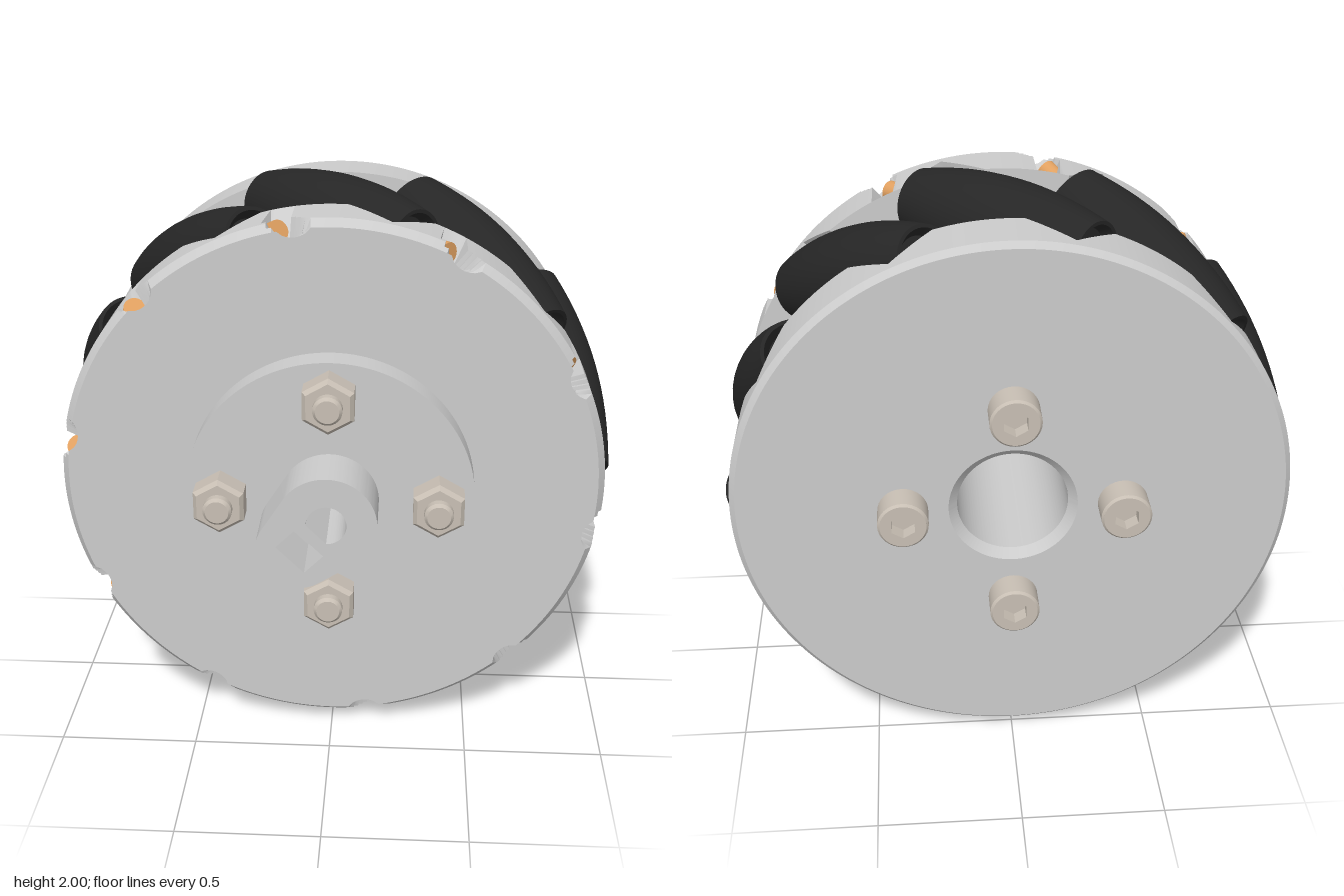
import * as THREE from 'three';
import { toCreasedNormals } from 'three/addons/utils/BufferGeometryUtils.js';

const mat = (color) => new THREE.MeshStandardMaterial({ color });
const DEG = Math.PI / 180;
const COUNT = 10;          // rollers
const STEP = 360 / COUNT;
const AXIS_R = 0.83;       // roller axle distance from the wheel axis
const MID_Z = -0.1;        // middle plane of the wheel
const RIM = 0.955;

// signed angle (degrees) to the nearest of the repeating positions
const nearest = (deg, at) => {
  const d = (((deg - at) % STEP) + STEP) % STEP;
  return d > STEP / 2 ? d - STEP : d;
};

// V-shaped pocket depth in a side plate
const pocket = (deg, at) => 0.15 * Math.max(0, 1 - Math.abs(nearest(deg, at)) / 9);

// rim radius, cut by the slanted axle holes of the front plate
function drilledRim(deg, z, rim) {
  const s = z - MID_Z, axisR = Math.hypot(AXIS_R, s);
  const at = 90 - Math.atan2(s, AXIS_R) / DEG;
  const d = (nearest(deg, at) * DEG * axisR) / Math.SQRT2;
  const h = 0.042;
  if (Math.abs(d) >= h) return rim;
  const half = Math.sqrt(h * h - d * d);
  return axisR + half < rim - 0.005 ? rim : Math.min(rim, axisR - half);
}

// closed sweep round z; profile(deg) gives [radius, z] rows, front to back over the outside
function sweep(segments, profile) {
  const pos = [], index = [];
  let rows = 0;
  for (let i = 0; i < segments; i++) {
    const deg = (i * 360) / segments, pts = profile(deg);
    rows = pts.length;
    for (const [r, z] of pts) pos.push(r * Math.cos(deg * DEG), r * Math.sin(deg * DEG), z);
  }
  for (let i = 0; i < segments; i++) {
    const a = i * rows, b = ((i + 1) % segments) * rows;
    for (let j = 0; j < rows - 1; j++) {
      index.push(a + j, a + j + 1, b + j, a + j + 1, b + j + 1, b + j);
    }
  }
  const g = new THREE.BufferGeometry();
  g.setAttribute('position', new THREE.Float32BufferAttribute(pos, 3));
  g.setIndex(index);
  return toCreasedNormals(g, 0.45);
}

function wheelBody(deg) {
  const front = 0.14 + pocket(deg, 6), back = -0.34 - pocket(deg, 30);
  const rim = [[0.35, 0.93], [0.335, 0.9425], [0.32, RIM], [0.31, RIM], [0.3, RIM], [0.29, RIM]]
    .map(([z, r]) => [drilledRim(deg, z, r), z]);
  return [
    [0.19, 0.35], [0.85, 0.35], ...rim,
    [RIM, front], [0.64, front], [0.64, back], [RIM, back],
    [RIM, -0.53], [0.935, -0.55], [0.22, -0.55], [0.19, -0.52], [0.19, 0.35],
  ];
}

const extrude = (shape, depth, curveSegments = 40) =>
  toCreasedNormals(new THREE.ExtrudeGeometry(shape, { depth, bevelEnabled: false, curveSegments }), 0.5);

const circle = (r) => new THREE.Shape().absarc(0, 0, r, 0, Math.PI * 2);

// lathe whose axis points to +z
const latheZ = (pts, n) => toCreasedNormals(
  new THREE.LatheGeometry(pts.map(([r, z]) => new THREE.Vector2(r, z)), n).rotateX(Math.PI / 2), 0.5);

export function createModel() {
  const root = new THREE.Group();
  const wheel = new THREE.Group();
  wheel.name = 'wheel';
  wheel.position.y = 1;
  root.add(wheel);

  const grey = mat(0xcccccc), rubber = mat(0x262626), copper = mat(0xe0a060), steel = mat(0xc8bfb4);
  const add = (parent, name, geo, material, z = 0) => {
    const m = new THREE.Mesh(geo, material);
    m.name = name;
    m.position.z = z;
    parent.add(m);
    return m;
  };

  // side plates and drum in one sweep
  add(wheel, 'wheelBody', sweep(360, wheelBody), grey);

  // D-shaped shaft hole, flat towards the set-screw side
  const shaftHole = () => new THREE.Path().absarc(0, 0, 0.068, 270 * DEG, 540 * DEG);

  // round mounting flange
  const flange = circle(0.5);
  flange.holes.push(shaftHole());
  add(wheel, 'flange', extrude(flange, 0.1, 64), grey, 0.35);

  // hub: hull of two circles, with shaft hole and nut pocket
  const hub = new THREE.Shape();
  hub.absarc(0, 0, 0.17, (225 + 77.8 - 360) * DEG, (225 - 77.8) * DEG);
  hub.absarc(-0.1, -0.1, 0.14, (225 - 77.8) * DEG, (225 + 77.8) * DEG);
  const slot = new THREE.Path([[-0.17, -0.085], [-0.105, -0.02], [-0.01, -0.115], [-0.075, -0.18]]
    .map(([x, y]) => new THREE.Vector2(x, y)));
  hub.holes.push(shaftHole(), slot);
  add(wheel, 'hub', extrude(hub, 0.2), grey, 0.45);

  // barrel rollers on slanted axles
  const profile = [[0.001, -0.35], [0.085, -0.35], [0.105, -0.39]];
  for (let i = 0; i <= 16; i++) {
    const t = -0.39 + (0.78 * i) / 16;
    profile.push([1 - Math.sqrt(AXIS_R ** 2 + (t * t) / 2) - 0.008 * (t / 0.39) ** 2, t]);
  }
  profile.push([0.105, 0.39], [0.085, 0.35], [0.001, 0.35]);
  const rollerGeo = latheZ(profile, 40);
  const pinGeo = toCreasedNormals(
    new THREE.CylinderGeometry(0.038, 0.038, 1.05, 20).rotateX(Math.PI / 2), 0.5);
  for (let k = 0; k < COUNT; k++) {
    const station = new THREE.Group();
    station.name = 'rollerUnit';
    station.rotation.z = k * STEP * DEG;
    const axle = new THREE.Group();
    axle.position.set(0, AXIS_R, MID_Z);
    axle.rotation.y = Math.PI / 4;
    add(axle, 'roller', rollerGeo, rubber);
    add(axle, 'axlePin', pinGeo, copper, 0.02);
    station.add(axle);
    wheel.add(station);
  }

  // four through bolts: nut and tip in front, socket head behind
  const hex = (r) => new THREE.Path([0, 1, 2, 3, 4, 5].map((i) =>
    new THREE.Vector2(r * Math.sin(i * 60 * DEG), r * Math.cos(i * 60 * DEG))));
  const nutGeo = latheZ([[0.1, 0], [0.1, 0.075], [0.085, 0.09], [0.001, 0.09]], 6);
  const tipGeo = latheZ([[0.05, 0], [0.05, 0.115], [0.04, 0.125], [0.001, 0.125]], 24);
  const headShape = circle(0.078);
  headShape.holes.push(hex(0.045));
  const headTopGeo = extrude(headShape, 0.06);
  const headSideGeo = latheZ([[0.078, -0.1], [0.086, -0.092], [0.086, 0]], 32);
  const socketFloorGeo = new THREE.CircleGeometry(0.07, 24).rotateY(Math.PI);
  for (let k = 0; k < 4; k++) {
    const bolt = new THREE.Group();
    bolt.name = 'bolt';
    bolt.position.set(0.375 * Math.cos(k * 90 * DEG), 0.375 * Math.sin(k * 90 * DEG), 0);
    add(bolt, 'nut', nutGeo, steel, 0.45);
    add(bolt, 'boltTip', tipGeo, steel, 0.45);
    add(bolt, 'headTop', headTopGeo, steel, -0.65);
    add(bolt, 'headSide', headSideGeo, steel, -0.55);
    add(bolt, 'socketFloor', socketFloorGeo, steel, -0.6);
    wheel.add(bolt);
  }
  return root;
}
